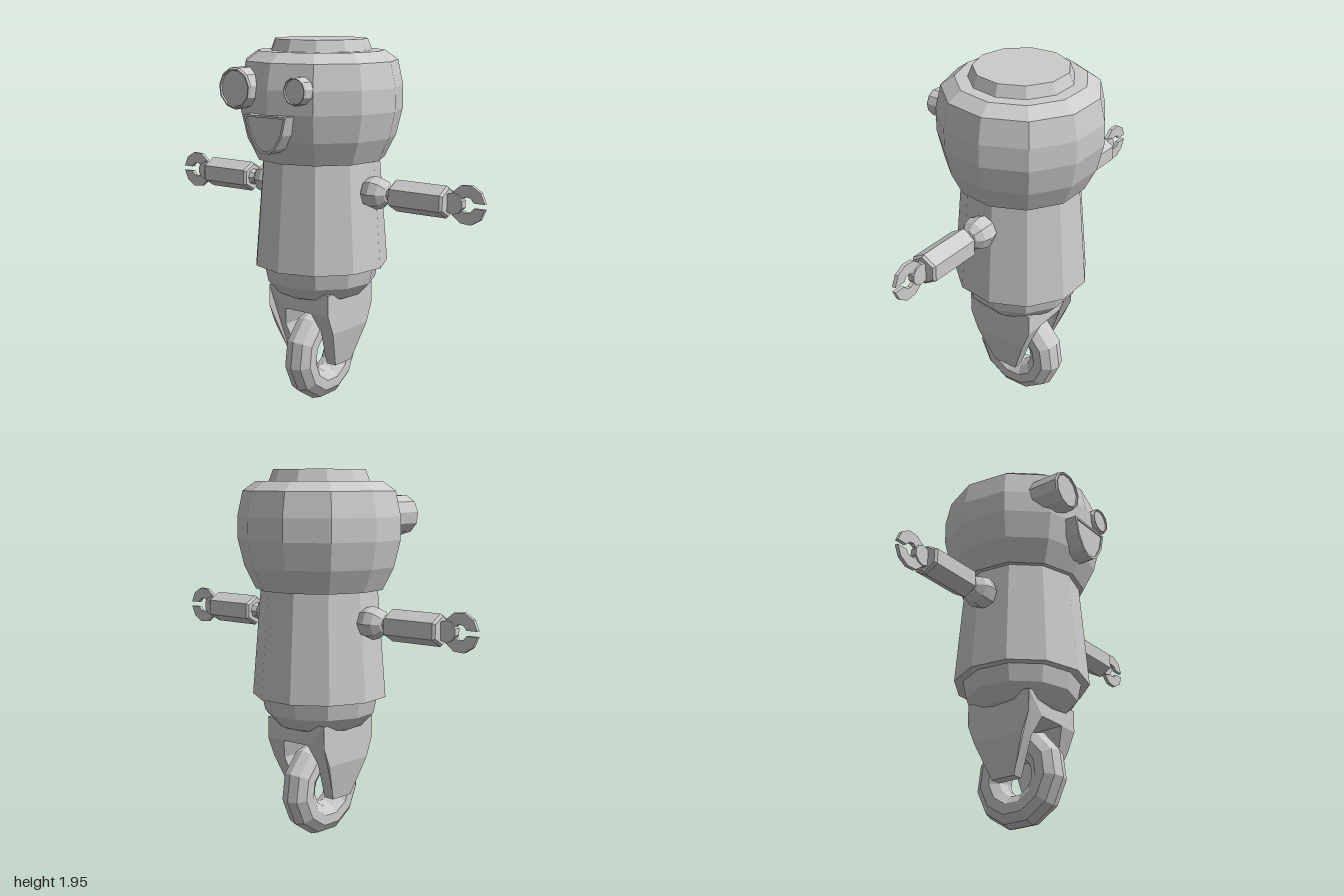
import * as THREE from 'three';

const SIDES = 11;
const CZ = -0.02; // axis of the body in z

const material = new THREE.MeshStandardMaterial({ color: 0xcccccc, flatShading: true });

function part(name, geometry, parent) {
  const mesh = new THREE.Mesh(geometry, material);
  mesh.name = name;
  parent.add(mesh);
  return mesh;
}

// Turned solid; the profile runs from bottom to top as [radius, height]
function turned(profile, sides = SIDES, start = 0) {
  const points = profile.map(([r, y]) => new THREE.Vector2(r, y));
  return new THREE.LatheGeometry(points, sides, start);
}

function outline(points) {
  return new THREE.Shape(points.map(([x, y]) => new THREE.Vector2(x, y)));
}

function extruded(shape, depth) {
  return new THREE.ExtrudeGeometry(shape, { depth, bevelEnabled: false });
}

// Round eye with a thin raised rim, facing +z
function addEye(name, x, y, r, front, parent) {
  const geometry = turned([
    [0, 0], [r * 0.85, 0], [r, 0.05], [r, front - 0.16], [r * 0.93, front - 0.15],
    [r * 0.87, front - 0.15], [r * 0.85, front - 0.16], [0, front - 0.16],
  ]);
  geometry.rotateX(Math.PI / 2).translate(x, y, 0.15);
  part(name, geometry, parent);
}

// Smile as a rim with a recessed plate
function addMouth(parent) {
  const points = [[-0.135, 0.085], [-0.11, -0.01], [-0.065, -0.08], [-0.025, -0.105],
    [0.025, -0.105], [0.065, -0.08], [0.11, -0.01], [0.135, 0.085]];
  const inner = points.map(([x, y]) => [x * 0.88, y * 0.88]);
  const rim = outline(points);
  rim.holes.push(outline(inner));
  part('mouthRim', extruded(rim, 0.235), parent).position.set(0, 1.5, 0.2);
  part('mouthPlate', extruded(outline(inner), 0.228), parent).position.set(0, 1.5, 0.2);
}

// Arm reaching along +x from the body axis
function buildArm(name) {
  const arm = new THREE.Group();
  arm.name = name;
  const alongX = (geometry) => geometry.rotateZ(-Math.PI / 2);

  part('shoulder', alongX(new THREE.SphereGeometry(0.088, 8, 6)), arm).position.x = 0.36;
  part('elbow', alongX(turned([[0.032, 0.42], [0.032, 0.445], [0.048, 0.48]], 8)), arm);
  part('forearm', alongX(turned([[0, 0.473], [0.07, 0.473], [0.082, 0.487], [0.082, 0.78],
    [0.07, 0.793], [0, 0.793]], 6, Math.PI / 6)), arm);

  const wrist = new THREE.CylinderGeometry(0.055, 0.055, 0.036, 10).rotateX(Math.PI / 2);
  part('wrist', wrist, arm).position.x = 0.825;

  // Open ring of the gripper, with parallel jaw faces
  const claw = [];
  const arc = (r, from, to, n) => {
    for (let i = 0; i <= n; i++) {
      const a = from + (to - from) * i / n;
      claw.push([0.9 + r * Math.cos(a), r * Math.sin(a)]);
    }
  };
  const outerGap = Math.asin(0.013 / 0.1), innerGap = Math.asin(0.013 / 0.04);
  arc(0.1, outerGap, Math.PI * 2 - outerGap, 10);
  arc(0.04, Math.PI * 2 - innerGap, innerGap, 8);
  part('claw', extruded(outline(claw), 0.02), arm).position.z = -0.01;

  arm.position.set(0, 1.175, CZ);
  return arm;
}

// Fork that straddles the wheel, narrowing in depth towards the axle
function forkGeometry() {
  const side = [[0.2, 0.64], [0.2, 0.525], [0.2, 0.42], [0.155, 0.22],
    [0.095, 0.22], [0.12, 0.42], [0.085, 0.525]];
  const mirrored = side.map(([x, y]) => [-x, y]).reverse();
  const geometry = extruded(outline([...side, ...mirrored]), 2);
  geometry.translate(0, 0, -1);
  const p = geometry.attributes.position;
  for (let i = 0; i < p.count; i++) {
    const t = Math.min(1, (p.getY(i) - 0.22) / 0.305);
    p.setZ(i, p.getZ(i) * (0.07 + 0.125 * t));
  }
  geometry.computeVertexNormals();
  return geometry;
}

export function createModel() {
  const model = new THREE.Group();
  model.name = 'robot';

  // Body of revolution: head, cap, torso and rounded base
  const core = new THREE.Group();
  core.name = 'core';
  core.position.z = CZ;
  model.add(core);
  part('head', turned([[0, 1.33], [0.34, 1.33], [0.4, 1.45], [0.433, 1.59], [0.433, 1.71],
    [0.405, 1.84], [0.335, 1.89], [0, 1.89]]), core);
  part('cap', turned([[0.27, 1.885], [0.245, 1.95], [0, 1.95]]), core);
  part('torso', turned([[0, 0.765], [0.36, 0.765], [0.314, 1.335]]), core);
  part('base', turned([[0, 0.56], [0.12, 0.565], [0.23, 0.605], [0.295, 0.675],
    [0.315, 0.77]]), core);

  // Face
  const face = new THREE.Group();
  face.name = 'face';
  model.add(face);
  addEye('rightEye', -0.2, 1.71, 0.107, 0.435, face);
  addEye('leftEye', 0.163, 1.71, 0.072, 0.405, face);
  addMouth(face);

  // Arms
  model.add(buildArm('leftArm'));
  const rightArm = buildArm('rightArm');
  rightArm.rotation.y = Math.PI;
  model.add(rightArm);

  // Fork and wheel
  part('fork', forkGeometry(), model).position.z = CZ;
  const tyre = new THREE.TorusGeometry(0.175, 0.088, 10, SIDES);
  tyre.rotateZ(Math.PI / 2).rotateY(Math.PI / 2);
  part('wheel', tyre, model).position.set(0, 0.253, CZ);

  return model;
}
